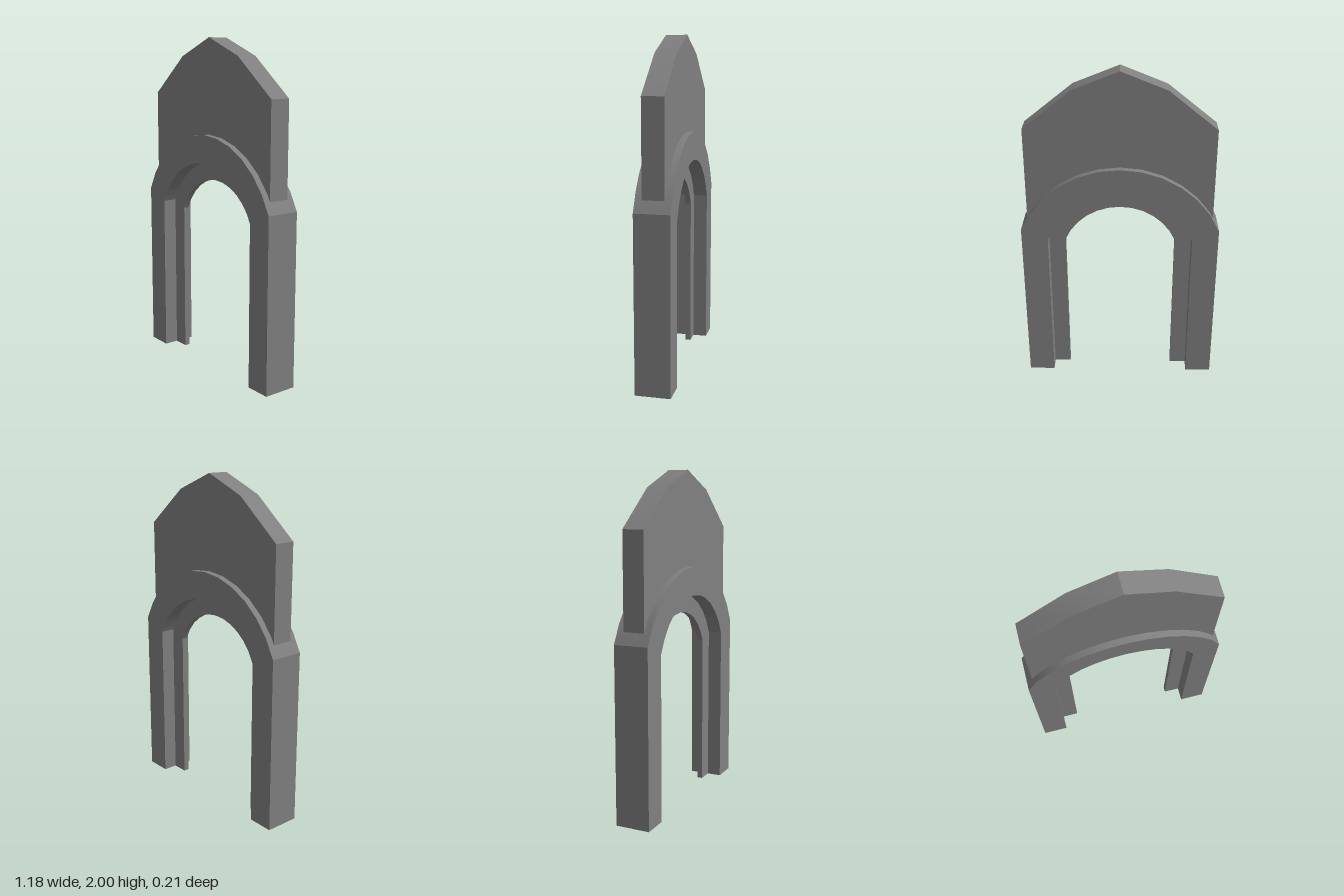
import * as THREE from 'three';
import { toCreasedNormals } from 'three/addons/utils/BufferGeometryUtils.js';

const CENTRE_Y = 0.797;          // common centre of all arch curves
const START = Math.PI / 8;       // springing angle of the arch
const SEGMENTS = 12;

const stone = new THREE.MeshStandardMaterial({ color: 0x808080 });
stone.name = 'grey stone';

// Points along an arch of the given radius, from +x over the top to -x
function archPoints(radius) {
  const points = [];
  for (let i = 0; i <= SEGMENTS; i++) {
    const a = START + (i / SEGMENTS) * (Math.PI - 2 * START);
    points.push(new THREE.Vector2(Math.cos(a) * radius, CENTRE_Y + Math.sin(a) * radius));
  }
  return points;
}

// Arch curve with straight legs down to the ground
function legged(radius) {
  const x = Math.cos(START) * radius;
  return [new THREE.Vector2(x, 0), ...archPoints(radius), new THREE.Vector2(-x, 0)];
}

// Outline extruded symmetrically about z = 0
function slab(name, points, depth) {
  const extruded = new THREE.ExtrudeGeometry(new THREE.Shape(points), { depth, bevelEnabled: false });
  extruded.translate(0, 0, -depth / 2);
  const mesh = new THREE.Mesh(toCreasedNormals(extruded, 0.35), stone);
  mesh.name = name;
  return mesh;
}

const band = (name, inner, outer, depth) =>
  slab(name, [...legged(outer), ...legged(inner).reverse()], depth);

export function createModel() {
  const group = new THREE.Group();
  group.name = 'archway';

  // Thick outer surround and the thin lip set inside it
  group.add(band('archSurround', 0.468, 0.638, 0.208));
  group.add(band('innerLip', 0.36, 0.475, 0.034));

  // Pointed wall panel above, its lower edge buried in the surround
  const right = [[0.553, 1.05], [0.553, 1.665], [0.268, 1.893]];
  const left = right.map(([x, y]) => [-x, y]).reverse();
  const outline = [...right, [0, 2], ...left].map(([x, y]) => new THREE.Vector2(x, y));
  const underside = archPoints(0.56).slice(1, -1).reverse();
  group.add(slab('gablePanel', [...outline, ...underside], 0.128));

  return group;
}
